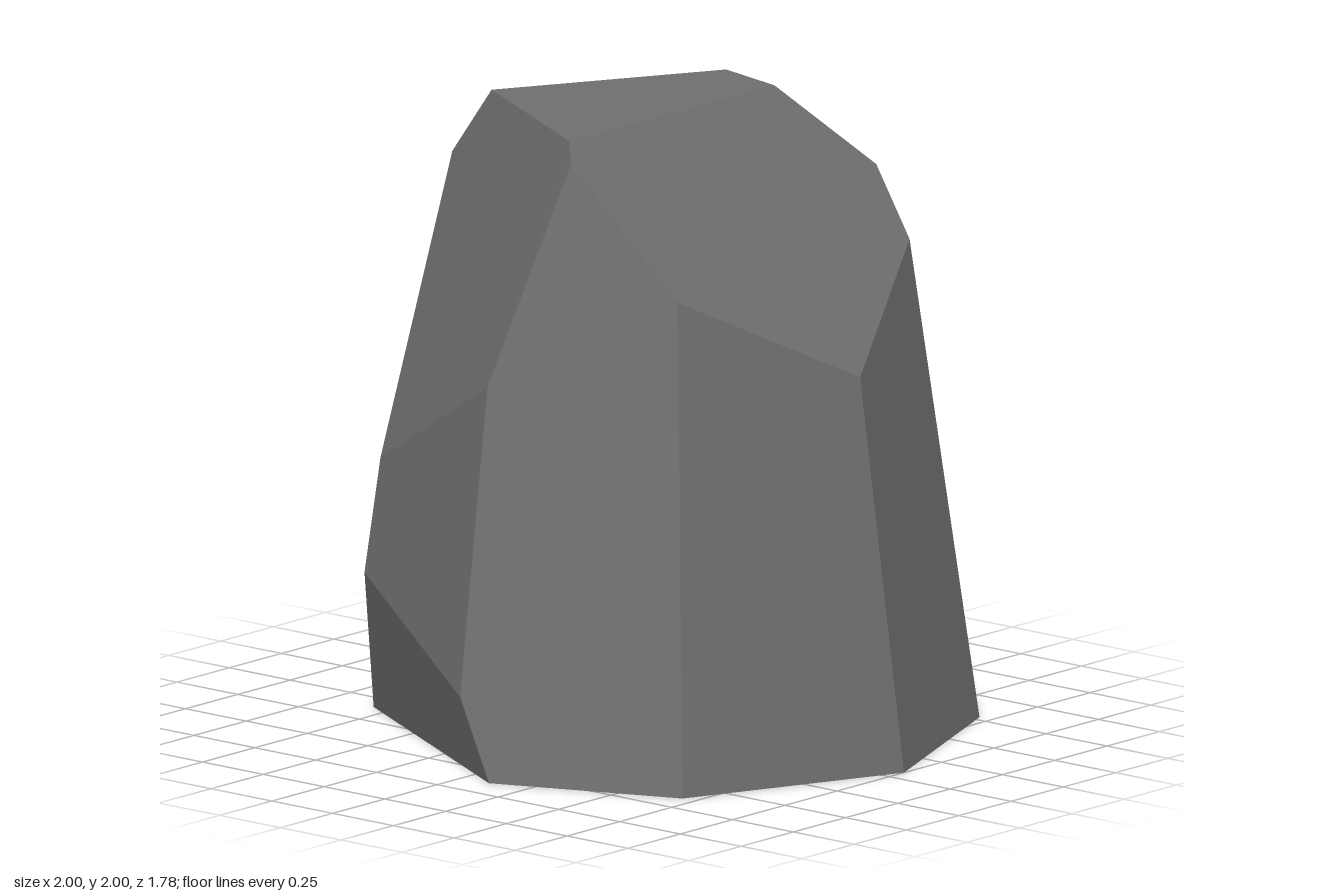
import * as THREE from 'three';
import { ConvexGeometry } from 'three/addons/geometries/ConvexGeometry.js';

export function createModel() {
  const group = new THREE.Group();
  group.name = 'boulder';

  const stone = new THREE.MeshStandardMaterial({ color: 0x6e6e6e, flatShading: true });
  stone.name = 'stone grey';

  // Uneven octagonal footprint on the ground
  const base = [
    [1, 0, -0.07], [0.7, 0, 0.64], [0.11, 0, 0.88], [-0.82, 0, 0.35],
    [-1, 0, -0.07], [-0.75, 0, -0.69], [0.43, 0, -0.89], [0.7, 0, -0.78],
  ];

  // Corners of the chipped facets around the sides
  const sides = [
    [0, 0.26, 0.89], [-0.66, 0.5, 0.58], [-0.62, 0.87, 0.55], [0, 1.23, 0.76],
    [-0.66, 0.45, -0.73], [0, 1.25, -0.89], [-0.59, 1.27, -0.65],
    [-0.8, 1.42, -0.07], [0.82, 1.24, -0.07], [0.55, 1.54, 0.49], [0.55, 1.54, -0.62],
  ];

  // Sloped shoulders and the small flat top
  const crown = [
    [0, 1.69, -0.83], [0.37, 1.743, -0.67], [-0.14, 1.77, -0.77], [-0.66, 1.775, 0.16],
    [0.19, 1.944, 0.58], [0.14, 2, 0.53], [-0.49, 2, 0.17], [-0.11, 2, -0.51], [0.14, 2, -0.45],
  ];

  // The cut stone is the convex hull of its corners
  const corners = [...base, ...sides, ...crown].map((p) => new THREE.Vector3(...p));
  const rock = new THREE.Mesh(new ConvexGeometry(corners), stone);
  rock.name = 'rock';
  group.add(rock);
  return group;
}
